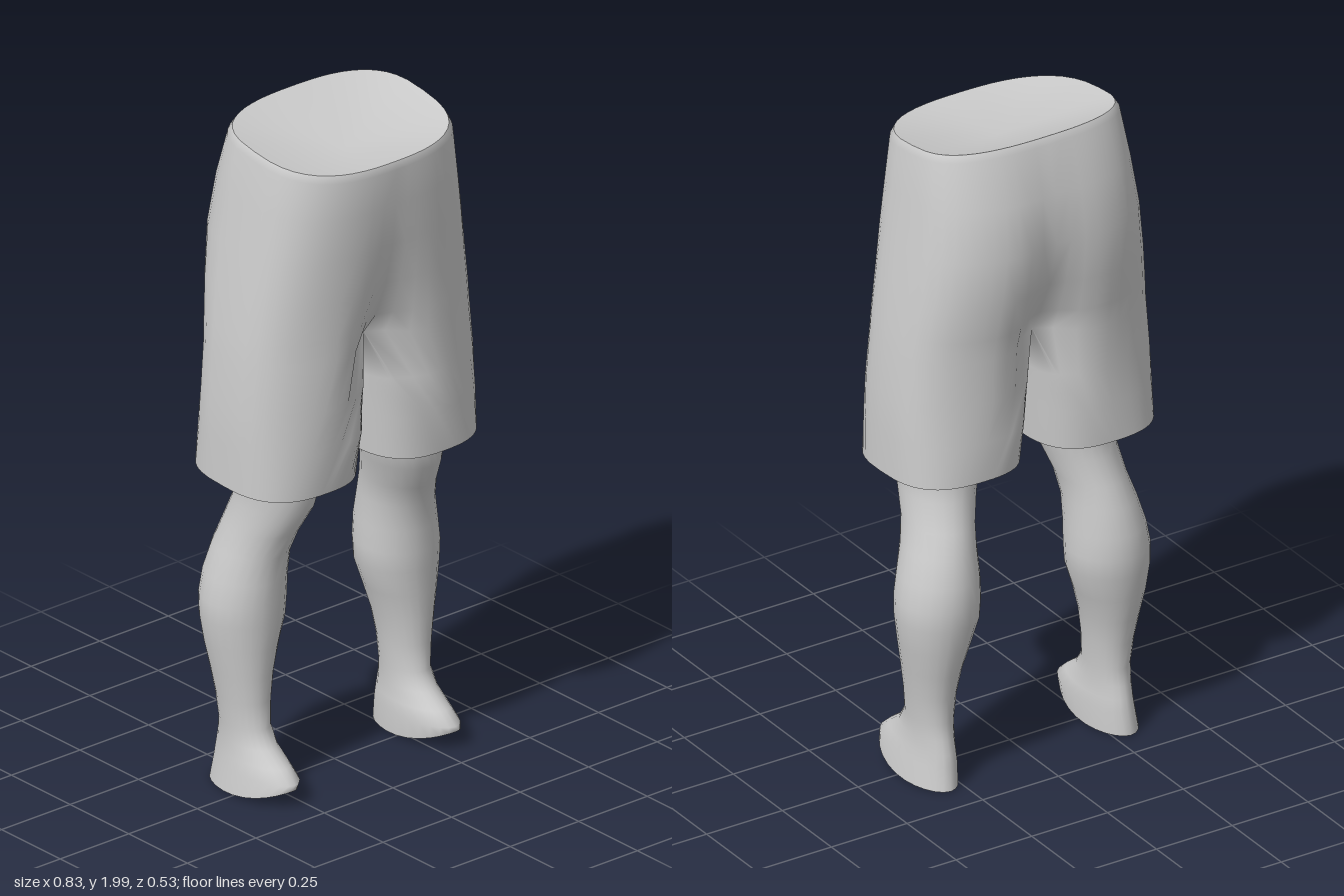
import * as THREE from 'three';
import { mergeVertices } from 'three/addons/utils/BufferGeometryUtils.js';

const material = new THREE.MeshStandardMaterial({ color: 0xcccccc, side: THREE.DoubleSide });

// Indexed smooth mesh from a list of triangles (each three points)
function meshFrom(tris, name) {
  let g = new THREE.BufferGeometry();
  g.setAttribute('position', new THREE.Float32BufferAttribute(tris.flat(2), 3));
  g = mergeVertices(g, 1e-5);
  g.computeVertexNormals();
  const mesh = new THREE.Mesh(g, material);
  mesh.name = name;
  return mesh;
}

// Skin neighbouring closed rings, listed from top to bottom
function loft(rings, tris, keep = () => true) {
  for (let i = 0; i < rings.length - 1; i++) {
    const n = rings[i].length;
    for (let j = 0; j < n; j++) {
      if (!keep(i, j)) continue;
      const k = (j + 1) % n;
      const [a, b, c, d] = [rings[i][j], rings[i][k], rings[i + 1][j], rings[i + 1][k]];
      tris.push([a, c, d], [a, d, b]);
    }
  }
}

const mirror = tris => tris.map(([a, b, c]) => [a, c, b].map(([x, y, z]) => [-x, y, z]));

// Shorts: y, outer x, front z, back z, front crease, back crease, middle x, inner x, tilt
const shortsRows = [
  [1.971, 0.308, 0.262, -0.187, 0, 0, 0, 0, 0.152],
  [1.95, 0.32, 0.27, -0.2, 0, 0, 0, 0, 0.15],
  [1.82, 0.338, 0.268, -0.245, 0.005, 0.01, 0, 0, 0.08],
  [1.68, 0.36, 0.26, -0.268, 0.01, 0.025, 0, 0, 0.03],
  [1.54, 0.38, 0.25, -0.255, 0.03, 0.05, 0, 0, 0],
  [1.43, 0.395, 0.247, -0.235, 0.07, 0.08, 0, 0, 0],
  [1.36, 0.402, 0.246, -0.225, 0.12, 0.11, 0, 0, 0],
  [1.22, 0.414, 0.24, -0.213, 0.07, 0.06, 0.06, 0.012, 0],
  [1.1, 0.416, 0.232, -0.21, 0.02, 0.02, 0.14, 0.02, 0.01],
  [0.973, 0.416, 0.222, -0.207, 0, 0, 0.21, 0.03, 0.04],
];
const CROTCH = 6, N = 48, ZC = 0.02;

// One half: outer arc front to back, then the inner leg arc back to front
function shortsRing([y, w, zf, zb, cf, cb, x0, xi, tilt]) {
  return Array.from({ length: N }, (_, j) => {
    const q = (j / N) * 4;
    const t = (Math.PI / 2) * Math.pow(Math.abs(q - 2 * Math.round(q / 2)), 1.3);
    const front = q < 1 || q > 3;
    const s = Math.pow(Math.sin(t), 0.75);
    const c = Math.pow(Math.max(0, Math.cos(t)), front ? 0.75 : 0.65);
    const x = q <= 2 ? x0 + (w - x0) * s : x0 - (x0 - xi) * s;
    const crease = Math.exp(-(((x - xi) / 0.09) ** 2));
    const z = ZC + c * (front ? zf - ZC - cf * crease : zb - ZC + cb * crease);
    return [x, y - tilt * z, z];
  });
}

// Bare leg: y, inner x, outer x, front z, back z
const legRows = [
  [1.12, 0.09, 0.35, 0.16, -0.11],
  [0.95, 0.112, 0.332, 0.155, -0.11],
  [0.88, 0.13, 0.335, 0.142, -0.117],
  [0.8, 0.156, 0.345, 0.102, -0.145],
  [0.73, 0.164, 0.365, 0.075, -0.167],
  [0.65, 0.162, 0.387, 0.066, -0.186],
  [0.58, 0.16, 0.4, 0.063, -0.191],
  [0.52, 0.163, 0.4, 0.058, -0.187],
  [0.44, 0.19, 0.388, 0.052, -0.173],
  [0.36, 0.213, 0.373, 0.047, -0.153],
  [0.28, 0.226, 0.36, 0.044, -0.136],
  [0.2, 0.232, 0.351, 0.046, -0.128],
  [0.15, 0.232, 0.352, 0.08, -0.136],
  [0.11, 0.227, 0.357, 0.135, -0.146],
  [0.075, 0.22, 0.365, 0.175, -0.152],
  [0, 0.222, 0.374, 0.168, -0.162],
];

function legRing([y, xi, xo, zf, zb]) {
  return Array.from({ length: 24 }, (_, j) => {
    const a = (j / 24) * Math.PI * 2;
    const x = (xi + xo) / 2 + ((xo - xi) / 2) * Math.sin(a);
    const z = (zf + zb) / 2 + ((zf - zb) / 2) * Math.cos(a);
    // The sole edge curves up towards the toe
    const rise = y === 0 ? 0.005 + 0.05 * Math.pow(Math.max(0, (z + 0.1) / 0.268), 2.5) : 0;
    return [x, y + rise, z];
  });
}

export function createModel() {
  const model = new THREE.Group();

  // Shorts: both halves share the midline and the crotch seam
  const rings = shortsRows.map(shortsRing);
  const half = [];
  loft(rings, half, (i, j) => i >= CROTCH || j < N / 2);
  model.add(meshFrom([...half, ...mirror(half)], 'shorts'));

  // Shallow dished closing at the waist
  const fan = [];
  for (let j = 0; j < N / 2; j++) fan.push([[0, 1.9, 0.05], rings[0][j], rings[0][j + 1]]);
  model.add(meshFrom([...fan, ...mirror(fan)], 'waistClosing'));

  // Legs with feet
  const legRings = legRows.map(legRing);
  const leg = [], sole = [];
  loft(legRings, leg);
  const edge = legRings[legRings.length - 1];
  edge.forEach((p, j) => sole.push([[0.298, 0.022, 0], edge[(j + 1) % edge.length], p]));
  for (const [side, flip] of [['left', t => t], ['right', mirror]]) {
    model.add(meshFrom(flip(leg), side + 'Leg'), meshFrom(flip(sole), side + 'Sole'));
  }
  return model;
}
